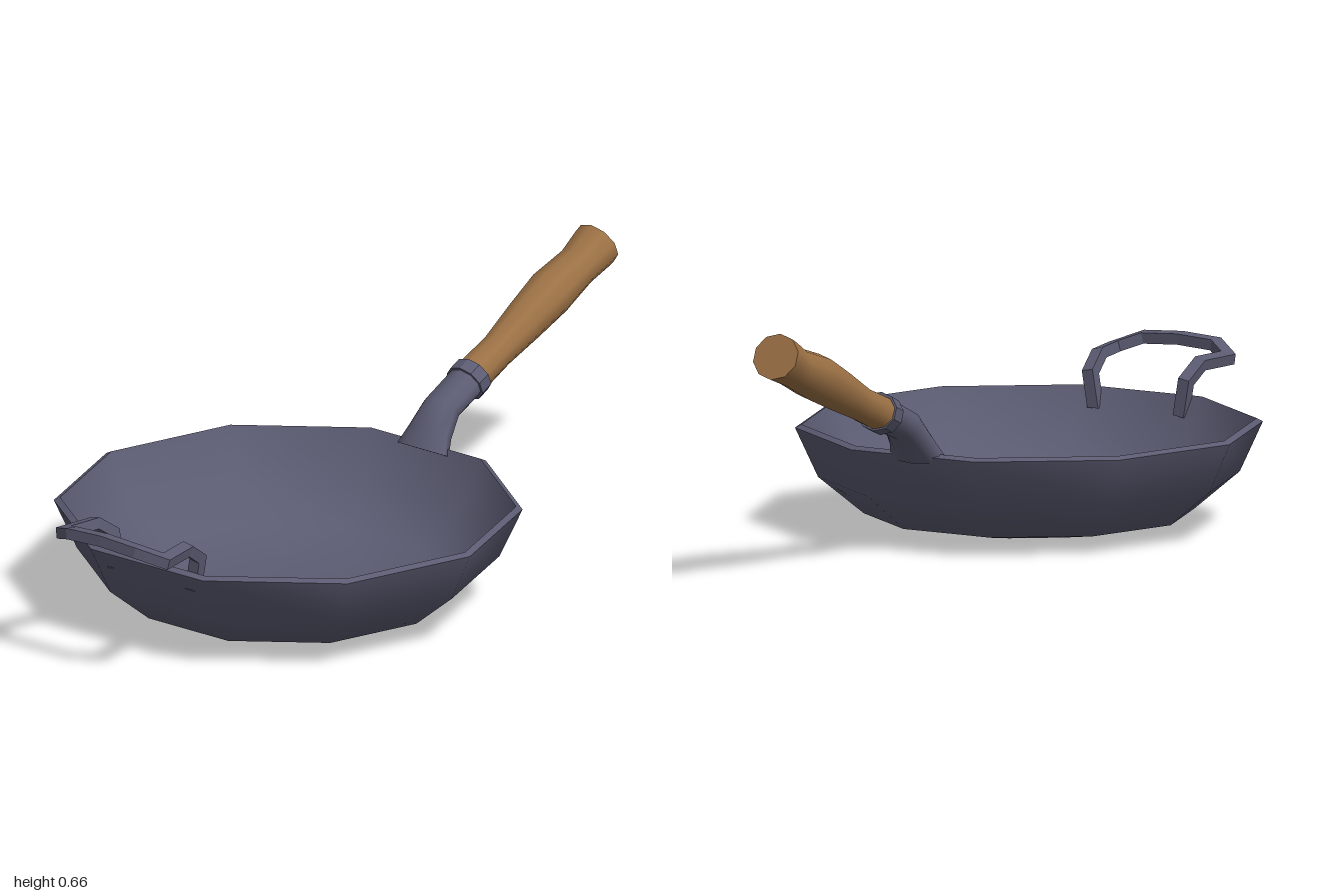
import * as THREE from 'three';

const V = (x, y, z) => new THREE.Vector3(x, y, z);
const metal = new THREE.MeshStandardMaterial({ name: 'dark iron', color: 0x5b5b72 });
const wood = new THREE.MeshStandardMaterial({ name: 'brown wood', color: 0x9c7145 });

// Skin over closed cross-sections, with flat caps at both ends
function loft(rings, flat) {
  const n = rings[0].length, pos = [], index = [];
  rings.forEach(r => r.forEach(p => pos.push(p.x, p.y, p.z)));
  for (let i = 0; i < rings.length - 1; i++) {
    for (let j = 0; j < n; j++) {
      const k = (j + 1) % n, a = i * n + j, b = i * n + k;
      index.push(a, b, b + n, a, b + n, a + n);
    }
  }
  [rings[0].slice().reverse(), rings[rings.length - 1]].forEach(r => {
    const base = pos.length / 3;
    r.forEach(p => pos.push(p.x, p.y, p.z));
    for (let j = 1; j < n - 1; j++) index.push(base, base + j, base + j + 1);
  });
  let g = new THREE.BufferGeometry();
  g.setAttribute('position', new THREE.Float32BufferAttribute(pos, 3));
  g.setIndex(index);
  if (flat) g = g.toNonIndexed();
  g.computeVertexNormals();
  return g;
}

// Ten-sided cross-section: centre x, y, tilt in degrees, in-plane and sideways radius
function section([x, y, tilt, r, rz]) {
  const t = THREE.MathUtils.degToRad(tilt);
  return Array.from({ length: 10 }, (_, j) => {
    const a = j * Math.PI / 5, c = r * Math.cos(a);
    return V(x - Math.sin(t) * c, y + Math.cos(t) * c, rz * Math.sin(a));
  });
}

// Rectangular bar along a path, mitred at every bend
function bar(path, hx, hz) {
  const dirs = path.slice(1).map((p, i) => p.clone().sub(path[i]).normalize());
  let ring = [[1, 1], [1, -1], [-1, -1], [-1, 1]].map(([x, z]) => path[0].clone().add(V(x * hx, 0, z * hz)));
  const rings = [ring];
  for (let i = 1; i < path.length; i++) {
    const d = dirs[i - 1], n = d.clone().add(dirs[i] || d).normalize();
    ring = ring.map(c => c.clone().addScaledVector(d, path[i].clone().sub(c).dot(n) / d.dot(n)));
    rings.push(ring);
  }
  return loft(rings, true);
}

export function createModel() {
  const model = new THREE.Group();
  model.name = 'fryingPan';
  const add = (parent, name, geometry, material) => {
    const mesh = new THREE.Mesh(geometry, material);
    mesh.name = name;
    parent.add(mesh);
    return mesh;
  };

  // Ten-sided bowl: outer wall, rim and inner wall
  const bowl = new THREE.Group();
  bowl.name = 'bowl';
  bowl.position.x = -0.255;
  model.add(bowl);
  const profiles = {
    outerWall: [[0, 0], [0.222, 0.005], [0.415, 0.038], [0.53, 0.132], [0.588, 0.258]],
    rim: [[0.588, 0.258], [0.572, 0.266]],
    innerWall: [[0.572, 0.266], [0.51, 0.142], [0.402, 0.056], [0.215, 0.025], [0, 0.02]],
  };
  for (const [name, pts] of Object.entries(profiles)) {
    add(bowl, name, new THREE.LatheGeometry(pts.map(p => new THREE.Vector2(...p)), 10), metal);
  }

  // Main handle: flared socket, collar and wooden grip
  const handle = new THREE.Group();
  handle.name = 'mainHandle';
  model.add(handle);
  add(handle, 'socket', loft([
    [0.278, 0.252, 64, 0.03, 0.08],
    [0.305, 0.29, 55, 0.035, 0.065],
    [0.352, 0.343, 40, 0.042, 0.052],
    [0.45, 0.385, 23, 0.044, 0.05],
  ].map(section)), metal);
  add(handle, 'collar', loft([
    [0.443, 0.381, 23, 0.051, 0.056],
    [0.477, 0.396, 23, 0.051, 0.056],
  ].map(section), true), metal);
  add(handle, 'grip', loft([
    [0.47, 0.392, 23, 0.045, 0.051],
    [0.57, 0.432, 23, 0.044, 0.047],
    [0.68, 0.482, 23, 0.054, 0.057],
    [0.78, 0.527, 23, 0.06, 0.065],
    [0.885, 0.567, 23, 0.052, 0.057],
    [0.945, 0.595, 23, 0.058, 0.065],
    [0.967, 0.605, 23, 0.06, 0.065],
  ].map(section)), wood);

  // Helper handle: bent bar, one half mirrored to make the loop
  const half = [
    [-0.782, 0.215, 0.125], [-0.782, 0.303, 0.14], [-0.838, 0.342, 0.148],
    [-0.942, 0.343, 0.165], [-0.982, 0.367, 0.105],
  ];
  const path = [
    ...half.map(p => V(...p)),
    V(-0.984, 0.373, 0),
    ...half.slice().reverse().map(([x, y, z]) => V(x, y, -z)),
  ];
  add(model, 'helperHandle', bar(path, 0.014, 0.016), metal);

  return model;
}
